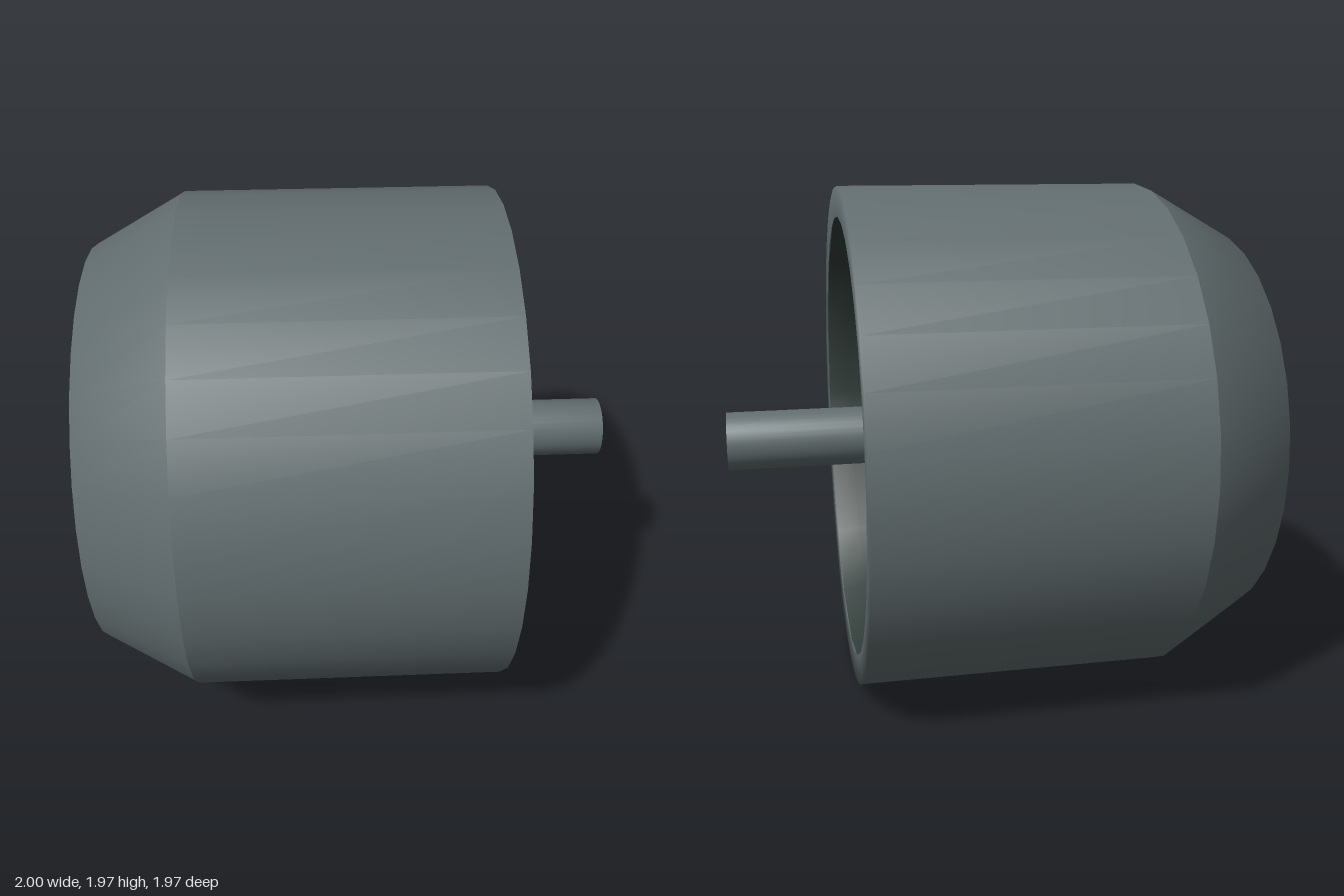
import * as THREE from 'three';

const CY = 0.985; // height of the axis
const steel = new THREE.MeshStandardMaterial({ color: 0x626d6f, side: THREE.DoubleSide });
steel.name = 'steel grey';
const dark = new THREE.MeshStandardMaterial({ color: 0x333e3b, side: THREE.DoubleSide });
dark.name = 'dark lining';
const bronze = new THREE.MeshStandardMaterial({ color: 0x8f7751, side: THREE.DoubleSide });
bronze.name = 'bronze';

// Surface of revolution about the x axis from [x, radius] pairs
function turned(name, profile, sides, material) {
  const geo = new THREE.LatheGeometry(profile.map(([x, r]) => new THREE.Vector2(r, x)), sides);
  geo.rotateZ(-Math.PI / 2);
  const mesh = new THREE.Mesh(geo, material);
  mesh.name = name;
  mesh.position.y = CY;
  return mesh;
}

// Linear interpolation through evenly spaced values
function sample(values, v) {
  const f = Math.min(v, 0.9999) * (values.length - 1);
  const i = Math.floor(f);
  return THREE.MathUtils.lerp(values[i], values[i + 1], f - i);
}

// Edge angles in degrees from root to tip
const LEAD = [73, 76, 79, 81, 83];
const TRAIL = [36, 32, 32, 37, 53];

// Swept blade: lens-shaped sections from root to tip, closed at the tip
function bladeGeometry({ turn, sweep, xLead, xTrail, tip, thick }) {
  const pos = [], idx = [], ring = 24, rows = 14;
  for (let j = 0; j <= rows; j++) {
    const v = j / rows;
    for (let i = 0; i < ring; i++) {
      const phi = (i / ring) * Math.PI * 2;
      const t = 0.5 - 0.5 * Math.cos(phi); // 0 trailing edge, 1 leading edge
      const angle = turn + sweep * THREE.MathUtils.lerp(sample(TRAIL, v), sample(LEAD, v), t);
      const a = THREE.MathUtils.degToRad(angle);
      const r = THREE.MathUtils.lerp(0.2, tip - 0.09 * (1 - t) ** 4, v);
      const x = THREE.MathUtils.lerp(xTrail, xLead, t) + thick * Math.sin(phi) * (1 - 0.7 * v);
      pos.push(x, CY + r * Math.sin(a), -r * Math.cos(a));
    }
  }
  for (let j = 0; j < rows; j++) {
    for (let i = 0; i < ring; i++) {
      const a = j * ring + i, b = j * ring + (i + 1) % ring;
      idx.push(a, b, a + ring, b, b + ring, a + ring);
    }
  }
  // Tip cap
  const last = rows * ring;
  for (let i = 1; i < ring - 1; i++) idx.push(last, last + i, last + i + 1);
  const geo = new THREE.BufferGeometry();
  geo.setAttribute('position', new THREE.Float32BufferAttribute(pos, 3));
  geo.setIndex(idx);
  geo.computeVertexNormals();
  return geo;
}

function bladeRow(name, count, material, options) {
  const row = new THREE.Group();
  row.name = name + 's';
  for (let i = 0; i < count; i++) {
    const turn = options.turn + (i * 360) / count;
    const blade = new THREE.Mesh(bladeGeometry({ ...options, turn }), material);
    blade.name = name;
    row.add(blade);
  }
  return row;
}

export function createModel() {
  const model = new THREE.Group();
  model.name = 'ductedPropulsor';

  // Duct: barrel with outlet rim, tapered inlet ring with its lip, and faceted lining
  model.add(turned('ductBarrel', [
    [-0.65, 0.985], [0.54, 0.985], [0.54, 0.87],
  ], 32, steel));
  model.add(turned('inletRing', [
    [-0.66, 0.82], [-0.85, 0.795], [-1, 0.79], [-0.65, 0.985],
  ], 32, steel));
  model.add(turned('ductLining', [
    [0.535, 0.89], [0.44, 0.855], [0.1, 0.835], [-0.72, 0.81],
  ], 16, dark));

  // Hub with blunt nose and tapered tail
  model.add(turned('hub', [
    [-0.47, 0], [-0.46, 0.14], [-0.43, 0.21], [-0.38, 0.24], [0, 0.24],
    [0.06, 0.21], [0.31, 0.13], [0.33, 0.1],
  ], 32, steel));

  // Drive shaft with softly shaded end
  model.add(turned('driveShaft', [[0.28, 0.115], [1, 0.115], [1, 0]], 32, steel));

  // Bronze rotor blades and the counter-swept stator vanes ahead of them
  model.add(bladeRow('rotorBlade', 7, bronze,
    { turn: 0, sweep: 1, xLead: -0.17, xTrail: 0, tip: 0.805, thick: 0.025 }));
  model.add(bladeRow('statorVane', 11, steel,
    { turn: 134, sweep: -1, xLead: -0.46, xTrail: -0.37, tip: 0.83, thick: 0.018 }));

  return model;
}
